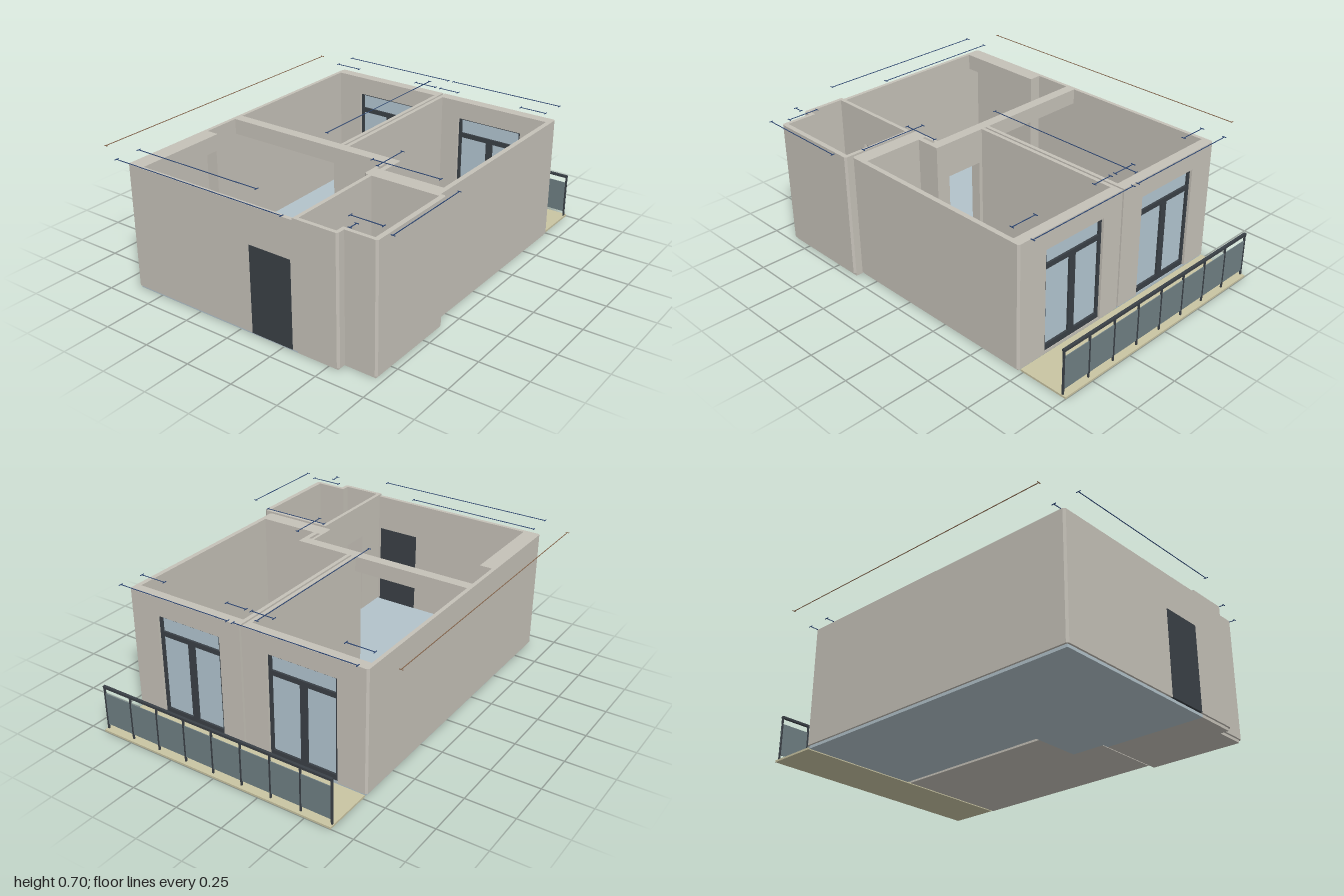
import * as THREE from 'three';

const paint = (name, color, double) => {
  const m = new THREE.MeshStandardMaterial({ color });
  m.name = name;
  if (double) m.side = THREE.DoubleSide;
  return m;
};

export function createModel() {
  const model = new THREE.Group();
  model.name = 'apartment';
  const wall = paint('plaster', 0xc5c1b8);
  const blue = paint('blueFloor', 0xb2c2ca);
  const olive = paint('balconyFloor', 0xc9c4a2);
  const dark = paint('darkFrame', 0x3a4046);
  const glass = paint('windowGlass', 0xb3c6d1);
  const panelMat = paint('railingPanel', 0x6f7f83);
  const navy = paint('navyLine', 0x2c4674);
  const brown = paint('brownLine', 0x8a6a50);

  // box given by its limits on each axis
  const box = (name, mat, x0, x1, y0, y1, z0, z1, parent = model) => {
    const mesh = new THREE.Mesh(new THREE.BoxGeometry(x1 - x0, y1 - y0, z1 - z0), mat);
    mesh.position.set((x0 + x1) / 2, (y0 + y1) / 2, (z0 + z1) / 2);
    mesh.name = name;
    parent.add(mesh);
    return mesh;
  };
  // plan outline in (x, z), raised from y0 to y1
  const toPlan = (pts) => pts.map(([x, z]) => new THREE.Vector2(x, -z));
  const prism = (name, mat, y0, y1, pts, hole) => {
    const shape = new THREE.Shape(toPlan(pts));
    if (hole) shape.holes.push(new THREE.Path(toPlan(hole)));
    const geo = new THREE.ExtrudeGeometry(shape, { depth: y1 - y0, bevelEnabled: false });
    geo.rotateX(-Math.PI / 2);
    geo.translate(0, y0, 0);
    const mesh = new THREE.Mesh(geo, mat);
    mesh.name = name;
    model.add(mesh);
  };

  const F = 0.015, H = 0.65, HB = 0.66;

  // floors
  prism('livingFloor', blue, 0, F, [[-0.635, -0.725], [0.015, -0.725], [0.015, 0.175], [0.295, 0.175],
    [0.295, 0.36], [0.33, 0.36], [0.33, 0.905], [-0.635, 0.905]]);
  prism('bedroomFloor', wall, 0, F, [[0.035, -0.725], [0.675, -0.725], [0.675, 0.355],
    [0.295, 0.355], [0.295, 0.175], [0.035, 0.175]]);
  prism('bathroomFloor', wall, 0, F, [[0.33, 0.36], [0.715, 0.36], [0.715, 0.86], [0.55, 0.86],
    [0.55, 0.905], [0.33, 0.905]]);
  box('balconyFloor', olive, -0.635, 0.67, 0, 0.01, -1, -0.735);

  // outer wall from the left window round to the front door
  prism('outerWall', wall, F, H, [[-0.49, -0.735], [-0.635, -0.735], [-0.645, -0.725], [-0.645, 0.905],
    [-0.635, 0.915], [0.08, 0.915], [0.08, 0.895], [-0.625, 0.895], [-0.625, -0.68], [-0.49, -0.68]]);
  box('frontDoorLintel', wall, 0.08, 0.31, 0.46, H, 0.895, 0.915);
  box('frontDoorJamb', wall, 0.31, 0.325, F, H, 0.895, 0.915);
  box('frontDoor', dark, 0.08, 0.31, F, 0.46, 0.893, 0.917);

  // niche in the side wall of the living room
  box('nicheBeam', wall, -0.625, -0.56, 0.565, H, 0.405, 0.895);
  box('nichePost', wall, -0.625, -0.56, F, 0.565, 0.405, 0.42);

  // twin party walls between the back rooms
  prism('partyWallLeft', wall, F, H, [[-0.115, -0.735], [0.02, -0.735], [0.02, 0.15], [0, 0.15],
    [0, -0.68], [-0.115, -0.68]]);
  prism('partyWallRight', wall, F, H, [[0.15, -0.735], [0.03, -0.735], [0.03, 0.15], [0.05, 0.15],
    [0.05, -0.68], [0.15, -0.68]]);

  // wide opening and bedroom doorway
  box('openingBeam', wall, -0.625, 0, 0.57, H, 0.15, 0.205);
  box('doorwayPier', wall, 0, 0.07, F, H, 0.15, 0.205);
  box('doorwayLintel', wall, 0.07, 0.27, 0.47, H, 0.15, 0.205);
  box('doorwayJamb', wall, 0.27, 0.29, F, H, 0.15, 0.205);

  // bedroom outer wall with a small shaft
  prism('bedroomWall', wall, F, H, [[0.52, -0.735], [0.675, -0.735], [0.685, -0.725], [0.685, 0.35],
    [0.675, 0.36], [0.3, 0.36], [0.29, 0.35], [0.29, 0.15], [0.345, 0.15], [0.345, 0.28], [0.66, 0.28],
    [0.66, -0.68], [0.52, -0.68]], [[0.305, 0.205], [0.32, 0.205], [0.32, 0.28], [0.305, 0.28]]);

  // bathroom wall, open at its doorway
  prism('bathroomWall', wall, F, HB, [[0.325, 0.51], [0.325, 0.36], [0.715, 0.36], [0.725, 0.37],
    [0.725, 0.86], [0.715, 0.87], [0.56, 0.87], [0.56, 0.905], [0.55, 0.915], [0.325, 0.915], [0.325, 0.72],
    [0.345, 0.72], [0.345, 0.895], [0.54, 0.895], [0.54, 0.85], [0.7, 0.85], [0.7, 0.38], [0.345, 0.38],
    [0.345, 0.51]]);
  box('bathroomLintel', wall, 0.325, 0.345, 0.47, HB, 0.51, 0.72);

  // balcony windows: transom pane above a pair of glazed doors
  for (const [a, b] of [[-0.49, -0.115], [0.15, 0.52]]) {
    box('windowLintel', wall, a, b, 0.555, H, -0.735, -0.68);
    const win = new THREE.Group();
    win.name = 'balconyWindow';
    model.add(win);
    const z0 = -0.722, z1 = -0.695, m = (a + b) / 2;
    box('glass', glass, a, b, F, 0.555, -0.711, -0.705, win);
    for (const x of [a, b - 0.015]) box('frameSide', dark, x, x + 0.015, F, 0.555, z0, z1, win);
    for (const [y, h] of [[F, 0.03], [0.445, 0.025], [0.545, 0.01]])
      box('frameRail', dark, a + 0.015, b - 0.015, y, y + h, z0, z1, win);
    box('meetingStile', dark, m - 0.018, m + 0.018, 0.045, 0.445, z0, z1, win);
  }

  // balcony railing
  const railing = new THREE.Group();
  railing.name = 'railing';
  model.add(railing);
  const bays = 8, x0 = -0.632, x1 = 0.667;
  box('topRail', dark, x0, x1, 0.235, 0.247, -0.985, -0.971, railing);
  for (let i = 0; i <= bays; i++) {
    const x = x0 + 0.004 + (x1 - x0 - 0.008) * i / bays;
    box('post', dark, x - 0.004, x + 0.004, 0.01, 0.235, -0.982, -0.974, railing);
  }
  box('panel', panelMat, x0, x1, 0.035, 0.205, -0.98, -0.976, railing);

  // measuring lines floating above the walls, with end ticks
  const lines = new THREE.Group();
  lines.name = 'measuringLines';
  model.add(lines);
  const t = 0.0015, Y = 0.7;
  const alongX = [[-0.8, -0.635, 0.01], [-0.8, 0.04, 0.67], [-0.67, -0.635, -0.49], [-0.67, -0.115, 0.01],
    [-0.67, 0.04, 0.15], [-0.67, 0.52, 0.66], [0.305, 0.295, 0.66], [0.85, -0.635, 0.08],
    [0.815, 0.55, 0.715], [0.985, -0.635, 0.33]];
  const alongZ = [[-0.795, -0.73, 0.905], [-0.065, -0.73, 0.175], [0.355, 0.15, 0.35],
    [0.79, 0.365, 0.86], [0.615, 0.86, 0.905]];
  for (const [z, a, b] of alongX) {
    box('line', navy, a, b, Y - t, Y + t, z - t, z + t, lines);
    for (const x of [a, b]) box('tick', navy, x - t, x + t, Y - t, Y + t, z - 0.012, z + 0.012, lines);
  }
  for (const [x, a, b] of alongZ) {
    const mat = x < -0.7 ? brown : navy;
    box('line', mat, x - t, x + t, Y - t, Y + t, a, b, lines);
    for (const z of [a, b]) box('tick', mat, x - 0.01, x + 0.01, Y - t, Y + t, z - t, z + t, lines);
  }
  return model;
}
